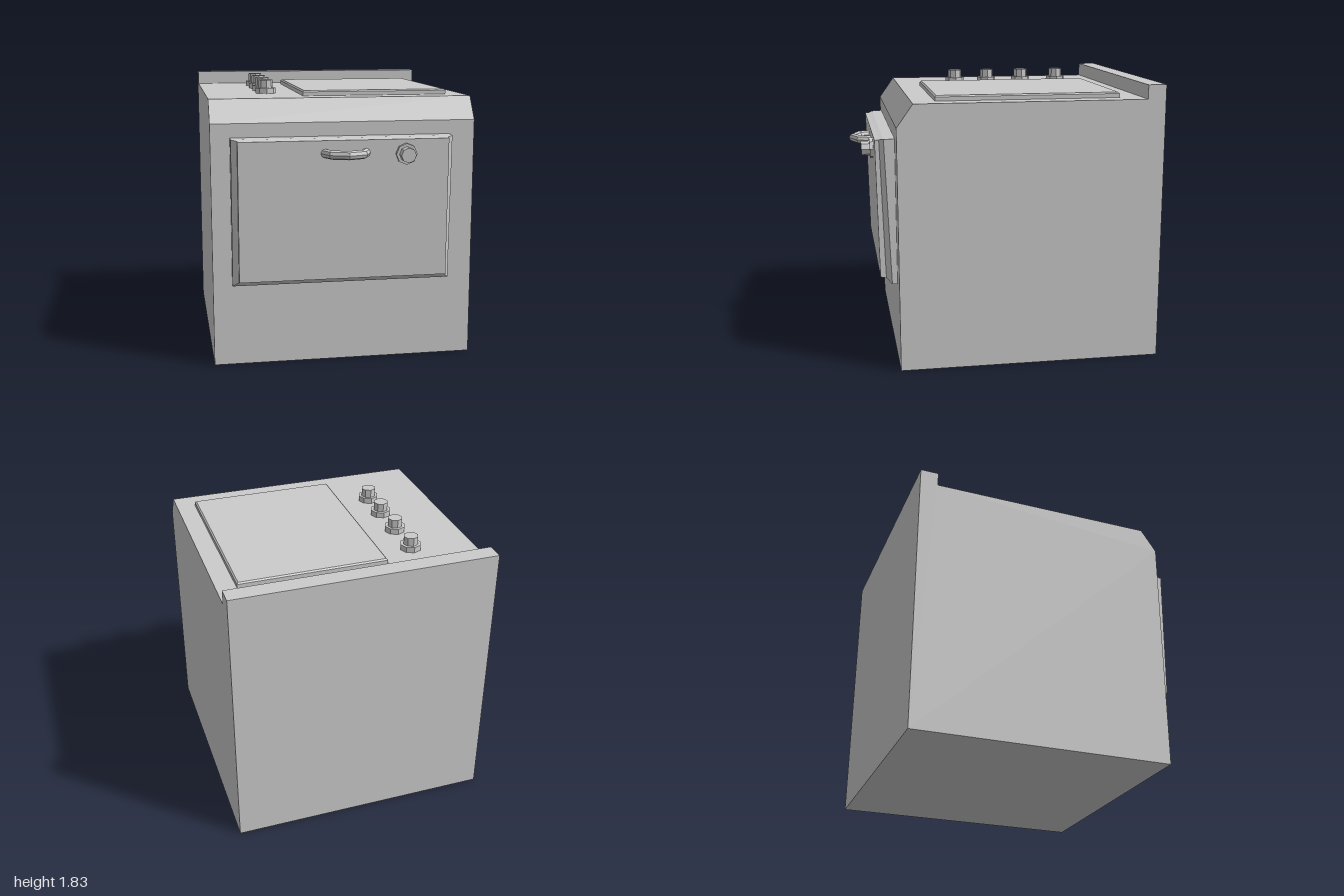
import * as THREE from 'three';

const grey = new THREE.MeshStandardMaterial({ color: 0xcccccc, flatShading: true });

function add(parent, geometry, name) {
  const mesh = new THREE.Mesh(geometry, grey);
  mesh.name = name;
  parent.add(mesh);
  return mesh;
}

// Skin over four-cornered rings (counter-clockwise seen from the last ring), closed at the last ring.
function loft(rings) {
  const index = [];
  for (let r = 0; r < rings.length - 1; r++) {
    for (let i = 0; i < 4; i++) {
      const a = r * 4 + i, b = r * 4 + (i + 1) % 4;
      index.push(a, b, b + 4, a, b + 4, a + 4);
    }
  }
  const e = (rings.length - 1) * 4;
  index.push(e, e + 1, e + 2, e, e + 2, e + 3);
  const indexed = new THREE.BufferGeometry();
  indexed.setAttribute('position', new THREE.Float32BufferAttribute(rings.flat(2), 3));
  indexed.setIndex(index);
  const geometry = indexed.toNonIndexed();
  geometry.computeVertexNormals();
  return geometry;
}

// Eight-sided knob standing on y = 0: wide collar and narrow grip.
function makeKnob(name) {
  const knob = new THREE.Group();
  knob.name = name;
  add(knob, new THREE.CylinderGeometry(0.069, 0.069, 0.04, 8), 'knobCollar').position.y = 0.02;
  add(knob, new THREE.CylinderGeometry(0.049, 0.049, 0.055, 8), 'knobGrip').position.y = 0.0675;
  return knob;
}

export function createModel() {
  const stove = new THREE.Group();
  stove.name = 'stove';

  // Body: side profile (z, y) with sloped front edge and raised back rim
  const profile = new THREE.Shape([
    [-1, 0], [0.73, 0], [0.73, 1.59], [0.625, 1.738],
    [-0.88, 1.738], [-0.88, 1.83], [-1, 1.83],
  ].map(([z, y]) => new THREE.Vector2(z, y)));
  const bodyGeometry = new THREE.ExtrudeGeometry(profile, { depth: 1.73, bevelEnabled: false });
  bodyGeometry.rotateY(-Math.PI / 2).translate(0.865, 0, 0);
  add(stove, bodyGeometry, 'body');

  // Oven door: bevelled panel leaning slightly forward at the top
  const doorRing = (x0, x1, y0, y1, zLow, zHigh) =>
    [[x0, y0, zLow], [x1, y0, zLow], [x1, y1, zHigh], [x0, y1, zHigh]];
  add(stove, loft([
    doorRing(-0.74, 0.697, 0.54, 1.5, 0.72, 0.72),
    doorRing(-0.74, 0.697, 0.54, 1.496, 0.764, 0.8),
    doorRing(-0.702, 0.66, 0.572, 1.49, 0.8, 0.828),
    doorRing(-0.702, 0.66, 0.58, 1.486, 0.838, 0.855),
  ]), 'ovenDoor');

  // Curved handle
  const handleGeometry = new THREE.TorusGeometry(0.142, 0.029, 8, 4, Math.PI);
  handleGeometry.rotateX(Math.PI / 2);
  add(stove, handleGeometry, 'doorHandle').position.set(-0.017, 1.404, 0.828);

  // Door knob, following the lean of the door
  const doorKnob = makeKnob('doorKnob');
  doorKnob.position.set(0.376, 1.393, 0.836);
  doorKnob.rotation.x = Math.PI / 2 + 0.04;
  stove.add(doorKnob);

  // Cooktop plate with a thin bevelled rim
  const plateRing = (inset, y) => {
    const x0 = -0.235 + inset, x1 = 0.74 - inset, z0 = -0.73 + inset, z1 = 0.475 - inset;
    return [[x0, y, z1], [x1, y, z1], [x1, y, z0], [x0, y, z0]];
  };
  add(stove, loft([plateRing(0, 1.73), plateRing(0, 1.764), plateRing(0.01, 1.773)]), 'cooktopPlate');

  // Row of cooktop knobs
  [-0.58, -0.31, -0.05, 0.19].forEach((z, i) => {
    const knob = makeKnob('cooktopKnob' + (i + 1));
    knob.position.set(-0.45, 1.735, z);
    stove.add(knob);
  });

  return stove;
}
